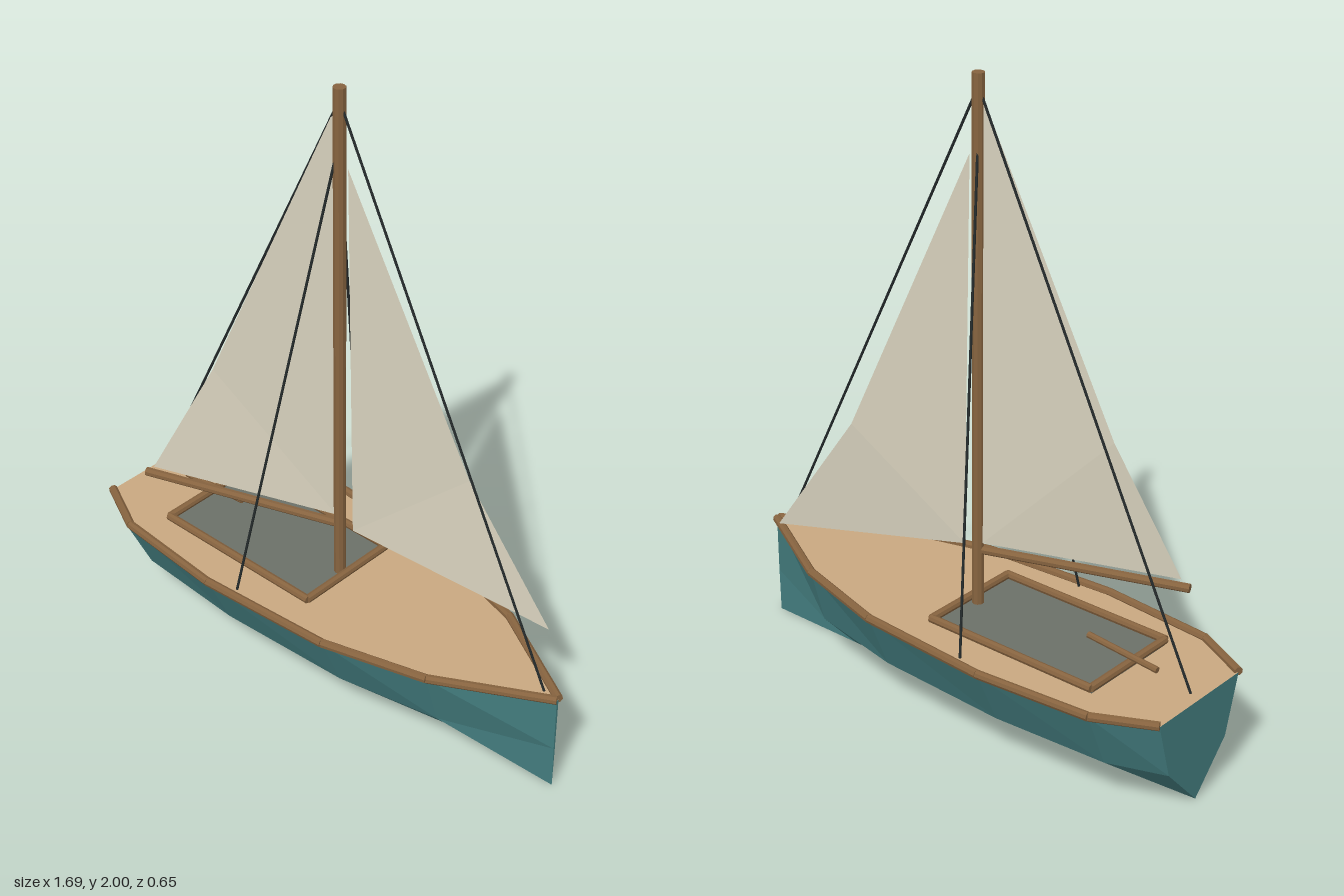
import * as THREE from 'three';

const material = (name, color, side = THREE.FrontSide) => {
  const m = new THREE.MeshStandardMaterial({ color, side });
  m.name = name;
  return m;
};

// Faceted geometry from polygons whose corners run anticlockwise
function faceted(polygons) {
  const pos = [];
  for (const p of polygons) {
    for (let i = 1; i < p.length - 1; i++) pos.push(...p[0], ...p[i], ...p[i + 1]);
  }
  const g = new THREE.BufferGeometry();
  g.setAttribute('position', new THREE.Float32BufferAttribute(pos, 3));
  g.computeVertexNormals();
  return g;
}

export function createModel() {
  const boat = new THREE.Group();
  boat.name = 'sailboat';

  const hullPaint = material('teal hull', 0x437c7e);
  const deckWood = material('pale deck', 0xc8a880);
  const sparWood = material('brown wood', 0x86633f);
  const cockpitGrey = material('cockpit grey', 0x6b7068);
  const canvas = material('sail canvas', 0xd6d0bc, THREE.DoubleSide);
  const rope = material('dark rigging', 0x23292a);

  const add = (name, geometry, mat, parent = boat) => {
    const mesh = new THREE.Mesh(geometry, mat);
    mesh.name = name;
    parent.add(mesh);
    return mesh;
  };

  // Straight faceted rod between two points
  const rod = (name, from, to, radius, mat, parent = boat, sides = 8) => {
    const a = new THREE.Vector3(...from);
    const b = new THREE.Vector3(...to);
    const g = new THREE.CylinderGeometry(radius, radius, a.distanceTo(b), sides).toNonIndexed();
    g.computeVertexNormals();
    const mesh = add(name, g, mat, parent);
    mesh.position.copy(a).lerp(b, 0.5);
    mesh.quaternion.setFromUnitVectors(new THREE.Vector3(0, 1, 0), b.sub(a).normalize());
    return mesh;
  };

  // Hull stations from stern to bow: x and half width at the deck
  const stations = [[-0.84, 0.19], [-0.66, 0.28], [-0.28, 0.312], [0.17, 0.282], [0.5, 0.19], [0.835, 0.004]];
  const deckY = 0.335;
  const rings = stations.map(([x, w]) => [
    [x, deckY, w], [x, 0.147, w * 0.72], [x, 0, 0], [x, 0.147, -w * 0.72], [x, deckY, -w],
  ]);
  const hullFaces = [[...rings[0]].reverse(), rings[rings.length - 1]];
  const deckFaces = [];
  for (let i = 0; i < rings.length - 1; i++) {
    const [r, s] = [rings[i], rings[i + 1]];
    for (let j = 0; j < 4; j++) hullFaces.push([r[j], r[j + 1], s[j + 1], s[j]]);
    deckFaces.push([r[4], r[0], s[0], s[4]]);
  }
  add('hull', faceted(hullFaces), hullPaint);
  add('deck', faceted(deckFaces), deckWood);

  // Rub rails along both sides, open across the stern
  const rails = new THREE.Group();
  rails.name = 'rails';
  boat.add(rails);
  for (const side of [1, -1]) {
    for (let i = 0; i < stations.length - 1; i++) {
      const [[x0, w0], [x1, w1]] = [stations[i], stations[i + 1]];
      rod('railSection', [x0, 0.338, side * w0], [x1, 0.338, side * w1], 0.014, sparWood, rails);
    }
  }

  // Cockpit well and its raised wooden frame
  const well = add('cockpitFloor', new THREE.BoxGeometry(0.6, 0.008, 0.35), cockpitGrey);
  well.position.set(-0.29, 0.339, 0);
  const frame = new THREE.Group();
  frame.name = 'cockpitFrame';
  boat.add(frame);
  for (const side of [1, -1]) {
    rod('frameSide', [-0.59, 0.352, side * 0.177], [0.015, 0.352, side * 0.177], 0.013, sparWood, frame);
  }
  for (const x of [-0.587, 0.012]) {
    rod('frameEnd', [x, 0.352, -0.177], [x, 0.352, 0.177], 0.013, sparWood, frame);
  }
  rod('tiller', [-0.69, 0.37, 0], [-0.44, 0.392, 0], 0.01, sparWood);

  // Spars
  rod('mast', [-0.018, 0.335, 0], [-0.018, 2, 0], 0.019, sparWood, boat, 10);
  rod('boom', [-0.018, 0.525, 0], [-0.64, 0.525, 0.217], 0.014, sparWood);

  // Sails: tack, head, leech and clew
  const sail = (name, tack, head, leech, clew) =>
    add(name, faceted([[tack, head, leech], [tack, leech, clew]]), canvas);
  sail('mainsail', [-0.035, 0.55, 0], [-0.035, 1.93, 0], [-0.425, 0.96, 0.12], [-0.615, 0.55, 0.208]);
  sail('jib', [0.035, 0.525, 0], [0.014, 1.76, 0], [0.4, 0.845, -0.098], [0.685, 0.425, -0.14]);

  // Standing rigging
  const stay = (name, from, to) => rod(name, from, to, 0.004, rope, boat, 6);
  stay('forestay', [-0.018, 1.96, 0], [0.785, 0.34, 0]);
  stay('backstay', [-0.018, 1.96, 0], [-0.808, 0.34, 0]);
  stay('leftShroud', [-0.018, 1.84, 0], [-0.187, 0.34, -0.278]);
  stay('rightShroud', [-0.018, 1.84, 0], [-0.187, 0.34, 0.278]);

  return boat;
}
